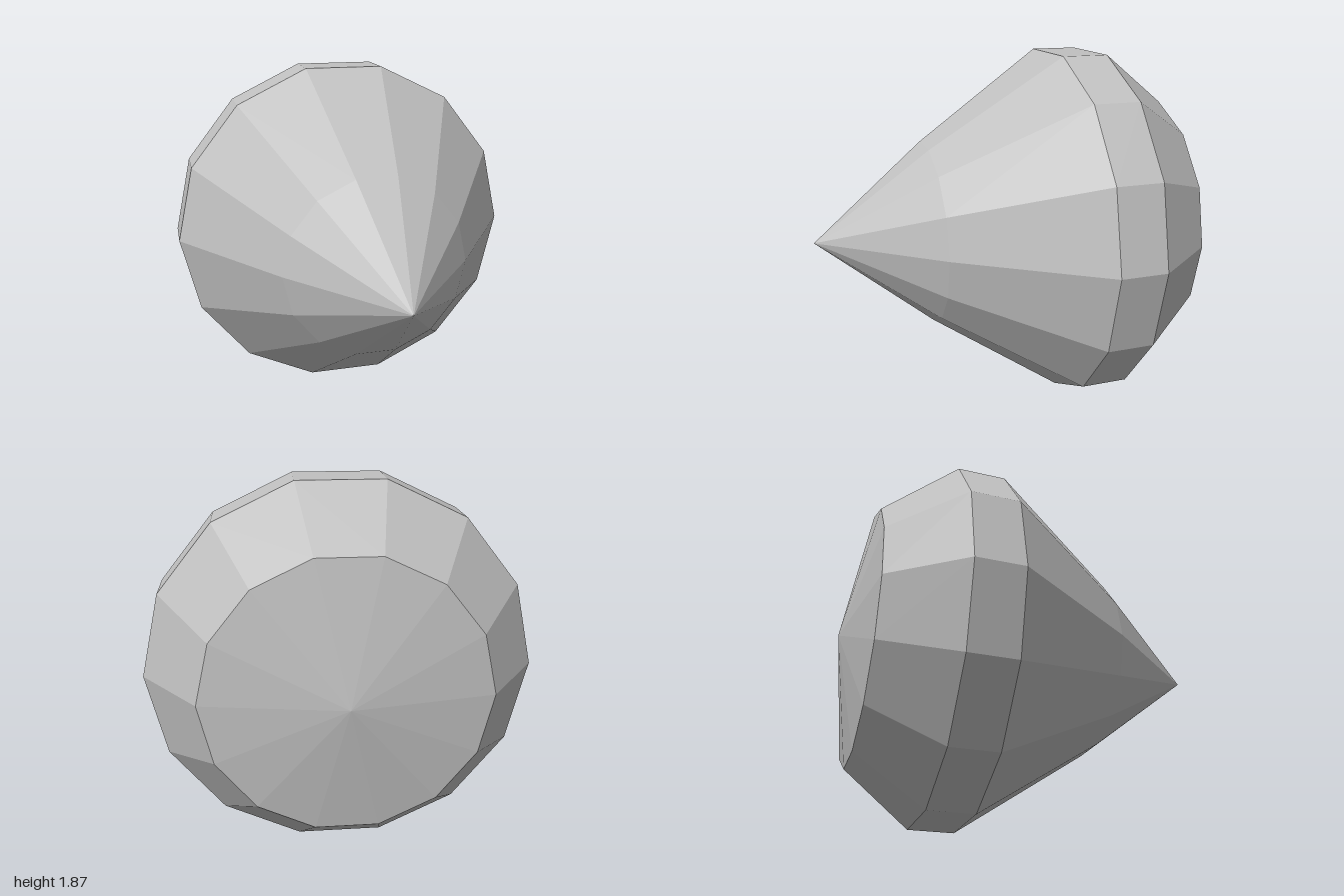
import * as THREE from 'three';

const SIDES = 14;

// Faceted ring: profile pairs are [z, radius], listed from back to front
function facetedRing(name, profile, material) {
  const points = profile.map(([z, r]) => new THREE.Vector2(r, z));
  const lathe = new THREE.LatheGeometry(points, SIDES, Math.PI / 2);
  lathe.rotateX(Math.PI / 2);
  const geometry = lathe.toNonIndexed();
  geometry.computeVertexNormals();
  const mesh = new THREE.Mesh(geometry, material);
  mesh.name = name;
  return mesh;
}

export function createModel() {
  const gem = new THREE.Group();
  gem.name = 'gem';

  const stone = new THREE.MeshStandardMaterial({ color: 0xc0c0c0, flatShading: true });
  stone.name = 'grey stone';

  gem.add(
    // Shallow cap on the back
    facetedRing('table', [[-1, 0], [-0.89, 0.685]], stone),
    // Sloping facets around the cap
    facetedRing('crown', [[-0.89, 0.685], [-0.535, 0.96]], stone),
    // Straight band at the widest point
    facetedRing('girdle', [[-0.535, 0.96], [-0.29, 0.96]], stone),
    // Long facets, slightly bent, running to the front point
    facetedRing('pavilion', [[-0.29, 0.96], [0.4, 0.488], [1, 0]], stone)
  );

  // Rest the lowest facet on the ground
  gem.position.y = 0.96 * Math.cos(Math.PI / SIDES);
  return gem;
}
